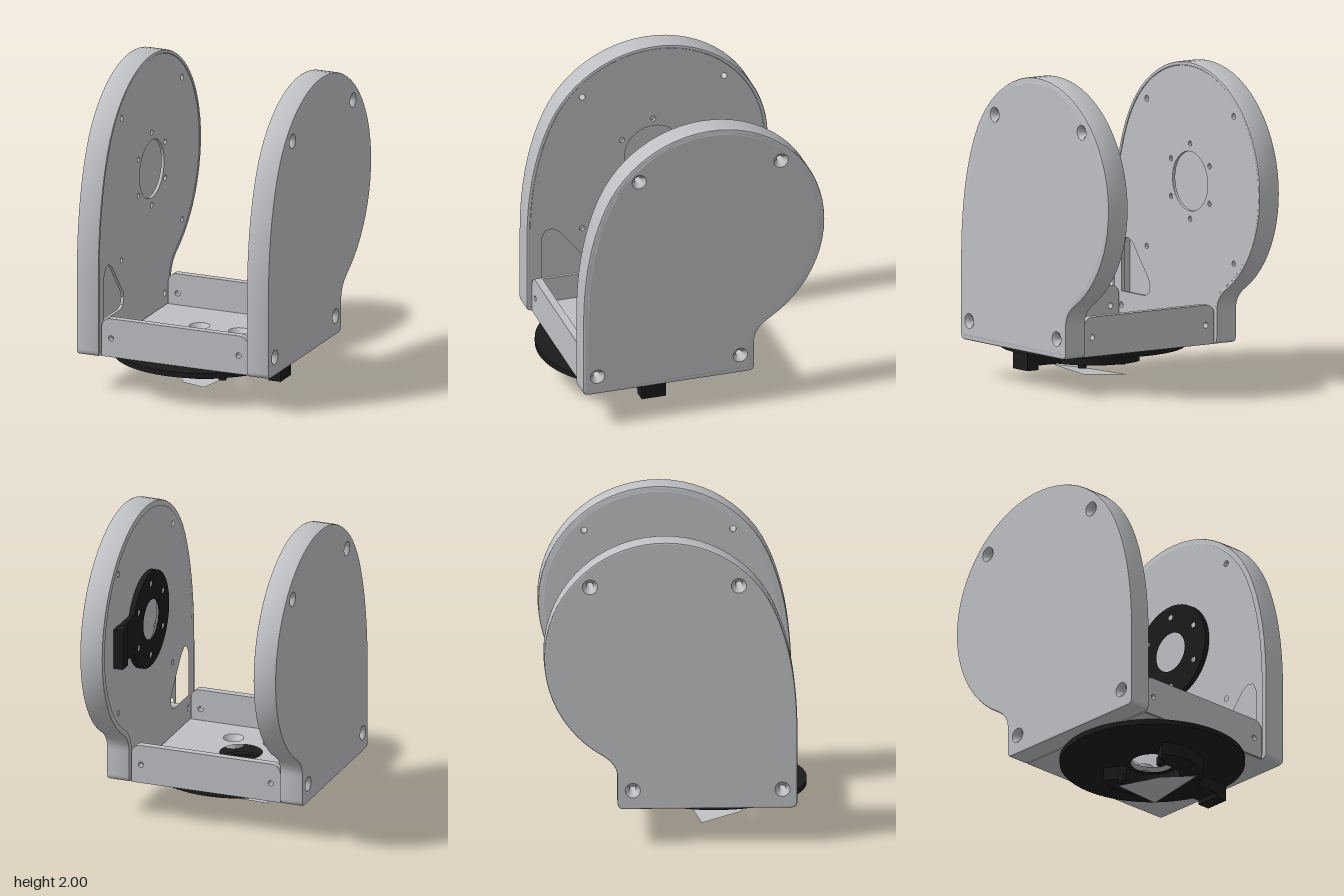
import * as THREE from 'three';
import { toCreasedNormals } from 'three/addons/utils/BufferGeometryUtils.js';

const V = (x, y) => new THREE.Vector2(x, y);
const HUB = V(-0.08, 1.24); // centre of the round head, as (z, y)

// Teardrop side outline, in (z, y), counter-clockwise
function sideOutline() {
  const a = THREE.MathUtils.degToRad(25), b = THREE.MathUtils.degToRad(239), r = 0.76;
  const s = new THREE.Shape();
  s.moveTo(0.72, 0.235);
  s.quadraticCurveTo(0.76, 0.235, 0.76, 0.275);
  s.lineTo(0.76, 0.75);
  s.quadraticCurveTo(0.76, 1.235, HUB.x + r * Math.cos(a), HUB.y + r * Math.sin(a));
  s.absarc(HUB.x, HUB.y, r, a, b, false);
  s.quadraticCurveTo(-0.375, 0.53, -0.375, 0.44);
  s.lineTo(-0.375, 0.275);
  s.quadraticCurveTo(-0.375, 0.235, -0.335, 0.235);
  const pts = s.getPoints(20);
  return pts.filter((p, i) => p.distanceTo(pts[(i + 1) % pts.length]) > 0.001);
}

// Moves a counter-clockwise outline inwards by d
function inset(pts, d) {
  const n = pts.length;
  return pts.map((p, i) => {
    const e1 = p.clone().sub(pts[(i + n - 1) % n]).normalize();
    const e2 = pts[(i + 1) % n].clone().sub(p).normalize();
    const m = V(-e1.y - e2.y, e1.x + e2.x).normalize();
    const k = d / Math.max(0.5, m.dot(V(-e1.y, e1.x)));
    return p.clone().addScaledVector(m, k);
  });
}

function circle(x, y, r, n = 32) {
  return Array.from({ length: n }, (_, i) => {
    const t = (i / n) * Math.PI * 2;
    return V(x + r * Math.cos(t), y + r * Math.sin(t));
  });
}

function plate(points, holes, depth, bevel = 0) {
  const shape = new THREE.Shape(points);
  shape.holes = holes.map((h) => new THREE.Path(h));
  const geo = new THREE.ExtrudeGeometry(shape, {
    depth: depth - 2 * bevel, bevelEnabled: bevel > 0,
    bevelThickness: bevel, bevelSize: bevel, bevelOffset: -bevel, bevelSegments: 2,
  });
  geo.translate(0, 0, bevel);
  return toCreasedNormals(geo, 0.5);
}

export function createModel() {
  const model = new THREE.Group();
  model.name = 'forkMount';
  const grey = new THREE.MeshStandardMaterial({ color: 0xbfc0c4 });
  grey.name = 'light grey';
  const sheetGrey = new THREE.MeshStandardMaterial({ color: 0xbfc0c4, side: THREE.DoubleSide });
  sheetGrey.name = 'light grey sheet';
  const black = new THREE.MeshStandardMaterial({ color: 0x1b1b1c });
  black.name = 'black';

  const add = (parent, name, geo, mat, x = 0, y = 0, z = 0) => {
    const mesh = new THREE.Mesh(geo, mat);
    mesh.name = name;
    mesh.position.set(x, y, z);
    parent.add(mesh);
    return mesh;
  };
  const box = (parent, name, mat, x0, x1, y0, y1, z0, z1) =>
    add(parent, name, new THREE.BoxGeometry(x1 - x0, y1 - y0, z1 - z0), mat,
      (x0 + x1) / 2, (y0 + y1) / 2, (z0 + z1) / 2);
  // Plate drawn in (z, y), its thickness running outwards from |x| = x0 on side k
  const sidePlate = (parent, name, mat, k, x0, depth, pts, holes, bevel) => {
    const flip = (list) => list.map((p) => V(-k * p.x, p.y));
    const mesh = add(parent, name, plate(flip(pts), holes.map(flip), depth, bevel), mat, k * x0);
    mesh.rotation.y = k * Math.PI / 2;
  };
  // Plate drawn in (x, z), its thickness running upwards from y0
  const flatPlate = (parent, name, mat, y0, depth, pts, holes) => {
    const flip = (list) => list.map((p) => V(p.x, -p.y));
    add(parent, name, plate(flip(pts), holes.map(flip), depth), mat, 0, y0).rotation.x = -Math.PI / 2;
  };

  // Hollow side arms
  const outline = sideOutline();
  const screws = [V(0.39, 1.71), V(-0.55, 1.71), V(0.665, 0.36), V(-0.28, 0.36)];
  const boltCircle = Array.from({ length: 6 }, (_, i) => {
    const t = Math.PI / 6 + i * Math.PI / 3;
    return circle(HUB.x + 0.24 * Math.cos(t), HUB.y + 0.24 * Math.sin(t), 0.018, 12);
  });
  const cableSlot = [V(0.66, 0.45), V(0.66, 0.74), V(0.635, 0.79), V(0.59, 0.8), V(0.54, 0.77),
    V(0.37, 0.56), V(0.355, 0.52), V(0.37, 0.47), V(0.41, 0.45)];
  const innerHoles = [
    circle(HUB.x, HUB.y, 0.19, 40), cableSlot, ...boltCircle,
    ...screws.map((p) => circle(p.x, p.y, 0.02, 16)),
    circle(0.39, 0.77, 0.018, 12), circle(-0.55, 0.77, 0.018, 12),
  ];
  for (const k of [1, -1]) {
    const arm = new THREE.Group();
    arm.name = k > 0 ? 'leftArm' : 'rightArm';
    model.add(arm);
    sidePlate(arm, 'rim', grey, k, 0.51, 0.155, outline, [inset(outline, 0.026)], 0.012);
    sidePlate(arm, 'outerPanel', grey, k, 0.635, 0.03, inset(outline, 0.013),
      screws.map((p) => circle(p.x, p.y, 0.048)));
    sidePlate(arm, 'innerPanel', grey, k, 0.516, 0.02, inset(outline, 0.025), innerHoles);
    // Countersunk screw tubes
    const tube = new THREE.LatheGeometry([V(0.02, 0), V(0.02, 0.115), V(0.048, 0.145)], 32);
    for (const p of screws) {
      add(arm, 'screwTube', tube, sheetGrey, k * 0.52, p.y, p.x).rotation.z = -k * Math.PI / 2;
    }
  }

  // Floor between the arms, with countersunk holes
  const mounts = [];
  for (const x of [-0.135, 0.135]) for (const z of [0.035, 0.47]) mounts.push(V(x, z));
  flatPlate(model, 'floor', grey, 0.235, 0.05,
    [V(-0.51, -0.345), V(0.51, -0.345), V(0.51, 0.715), V(-0.51, 0.715)],
    [circle(0, 0.255, 0.135, 40), ...mounts.map((p) => circle(p.x, p.y, 0.065))]);
  const sink = new THREE.LatheGeometry([V(0.03, 0.003), V(0.065, 0.05)], 32);
  for (const p of mounts) add(model, 'countersink', sink, sheetGrey, p.x, 0.235, p.y);

  // Front and back flanges
  const tab = new THREE.Shape();
  tab.moveTo(-0.505, 0.237);
  tab.lineTo(0.505, 0.237);
  tab.lineTo(0.505, 0.43);
  tab.absarc(0.445, 0.43, 0.06, 0, Math.PI / 2, false);
  tab.absarc(-0.445, 0.43, 0.06, Math.PI / 2, Math.PI, false);
  const flange = plate(tab.getPoints(8),
    [circle(0.44, 0.36, 0.018, 16), circle(-0.44, 0.36, 0.018, 16)], 0.05);
  add(model, 'frontFlange', flange, grey, 0, 0, 0.675);
  add(model, 'backFlange', flange, grey, 0, 0, -0.355);

  // Black sensor ring on the inside of the left arm
  const sensor = new THREE.Group();
  sensor.name = 'armSensor';
  model.add(sensor);
  sidePlate(sensor, 'sensorRing', black, 1, 0.48, 0.034, circle(HUB.x, HUB.y, 0.317, 56),
    [circle(HUB.x, HUB.y, 0.13), ...boltCircle]);
  box(sensor, 'sensorArm', black, 0.481, 0.514, 1.11, 1.365, -0.57, -0.36);
  box(sensor, 'sensorBlock', black, 0.45, 0.514, 1.105, 1.37, -0.64, -0.555);

  // Turntable under the floor
  const base = new THREE.Group();
  base.name = 'turntable';
  model.add(base);
  flatPlate(base, 'disc', black, 0.2, 0.034, circle(0, 0.255, 0.585, 80), [circle(0, 0.255, 0.135, 40)]);
  const arc = new THREE.Shape();
  arc.absarc(0, 0.26, 0.32, -2.14, 2.14, false);
  arc.absarc(0, 0.26, 0.17, 2.14, -2.14, true);
  flatPlate(base, 'baseSensorRing', black, 0.115, 0.086, arc.getPoints(20), []);
  box(base, 'baseSensorArm', black, 0.28, 0.48, 0.118, 0.2, 0.18, 0.34);
  box(base, 'baseSensorBlock', black, 0.475, 0.56, 0.09, 0.2, 0.18, 0.34);
  const stud = new THREE.CylinderGeometry(0.026, 0.026, 0.05, 16);
  for (const x of [-0.105, 0.204]) for (const z of [0.084, 0.44]) add(base, 'stud', stud, black, x, 0.115, z);

  // Loose folded sheet below the centre hole
  const sheet = new THREE.BufferGeometry();
  sheet.setAttribute('position', new THREE.Float32BufferAttribute([
    -0.22, 0, 0.17, 0.12, 0.055, 0.54, 0.2, 0.05, 0.07,
    -0.22, 0, 0.17, -0.08, 0.025, 0.41, 0.12, 0.055, 0.54,
  ], 3));
  sheet.computeVertexNormals();
  add(model, 'foldedSheet', sheet, sheetGrey);

  return model;
}
